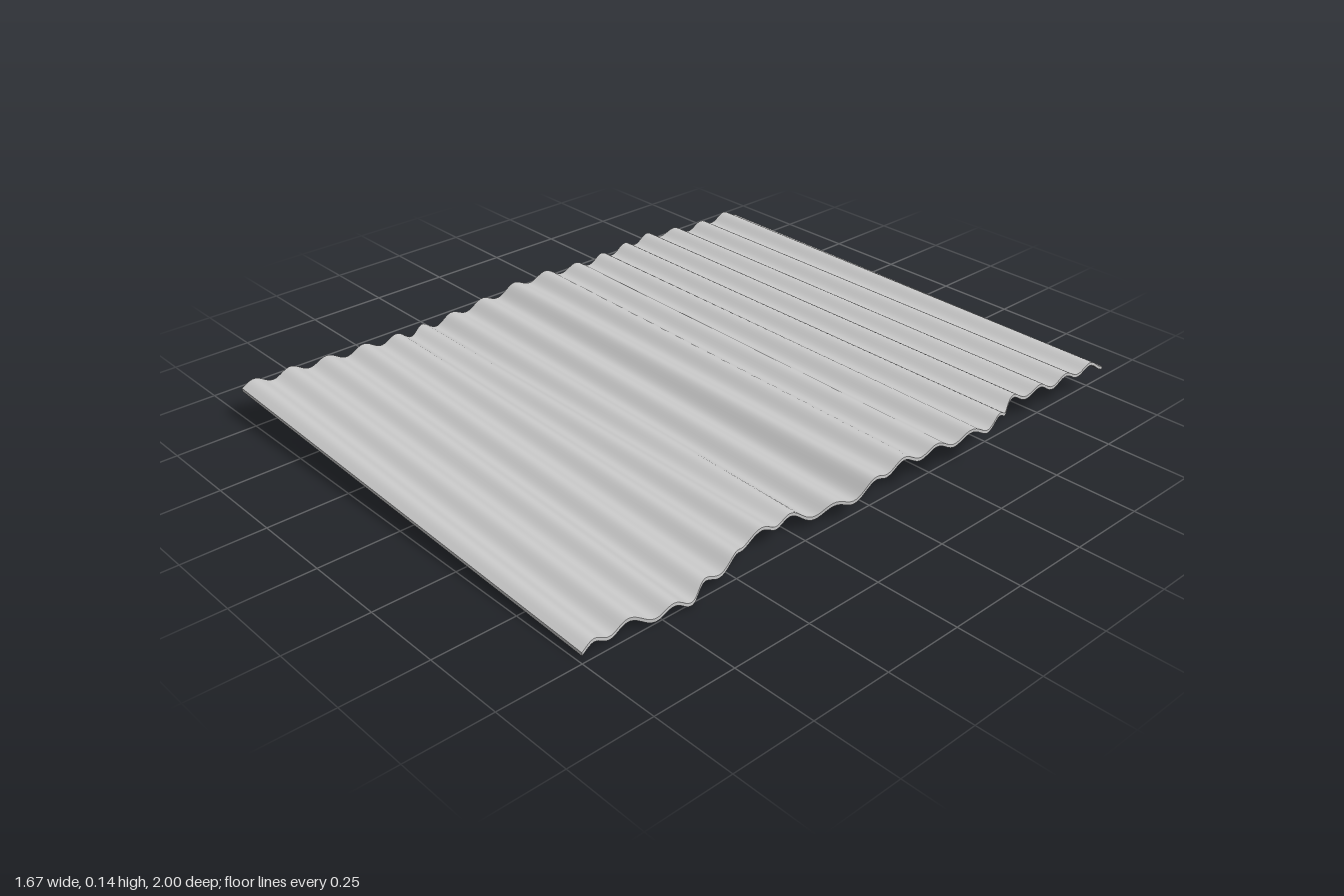
import * as THREE from 'three';

// Smooth curve through [z, value] pairs
function curve(pairs) {
  const c = new THREE.CubicInterpolant(pairs.map(p => p[0]), pairs.map(p => p[1]), 1, [0]);
  return z => c.evaluate(z)[0];
}

// Outline of the two ragged side edges (x along z)
const rightX = curve([[-1, -0.78], [-0.75, -0.785], [-0.6, -0.81], [-0.45, -0.795], [-0.25, -0.775], [0, -0.81],
  [0.2, -0.835], [0.35, -0.83], [0.45, -0.79], [0.6, -0.785], [0.8, -0.805], [1, -0.805]]);
const leftX = curve([[-1, 0.795], [-0.7, 0.785], [-0.57, 0.78], [-0.5, 0.81], [-0.4, 0.83], [-0.3, 0.81],
  [-0.05, 0.775], [0, 0.78], [0.08, 0.765], [0.25, 0.705], [0.35, 0.71], [0.42, 0.705], [0.5, 0.735],
  [0.6, 0.74], [0.66, 0.76], [0.77, 0.755], [0.86, 0.725], [1, 0.735]]);

// Sagging height of each side edge (y along z)
const rightY = curve([[-1, 0.12], [-0.9, 0.122], [-0.8, 0.118], [-0.6, 0.128], [-0.4, 0.13], [-0.2, 0.133],
  [-0.1, 0.133], [0, 0.122], [0.1, 0.1], [0.2, 0.087], [0.3, 0.075], [0.4, 0.088], [0.5, 0.106], [0.75, 0.108], [1, 0.114]]);
const leftY = curve([[-1, 0.1], [-0.9, 0.115], [-0.8, 0.115], [-0.6, 0.128], [-0.4, 0.13], [-0.25, 0.12],
  [-0.1, 0.115], [0, 0.103], [0.1, 0.066], [0.2, 0.052], [0.3, 0.068], [0.4, 0.064], [0.55, 0.044],
  [0.65, 0.03], [0.75, 0.034], [0.9, 0.026], [1, 0.028]]);

const PITCH = 0.1187, AMPLITUDE = 0.012, THICKNESS = 0.01;

export function createModel() {
  const group = new THREE.Group();
  group.name = 'corrugatedPanel';

  // Thin slab bent into corrugations, warped and trimmed to the ragged outline
  const geometry = new THREE.BoxGeometry(2, 1, 2, 10, 1, 240);
  const p = geometry.attributes.position;
  for (let i = 0; i < p.count; i++) {
    const z = p.getZ(i), t = (p.getX(i) + 1) / 2;
    const x = THREE.MathUtils.lerp(rightX(z), leftX(z), t);
    const wave = -AMPLITUDE * Math.cos((z + 0.88) / PITCH * Math.PI * 2);
    const y = THREE.MathUtils.lerp(rightY(z), leftY(z), t) + wave + p.getY(i) * THICKNESS;
    // ribs run slightly askew
    p.setXYZ(i, x, y, z * 0.994 + x * (0.012 - 0.02 * z * z));
  }
  geometry.computeVertexNormals();
  geometry.computeBoundingBox();
  geometry.translate(0, -geometry.boundingBox.min.y, 0);

  const sheet = new THREE.Mesh(geometry, new THREE.MeshStandardMaterial({ color: 0xcccccc }));
  sheet.name = 'corrugatedSheet';
  group.add(sheet);
  return group;
}
